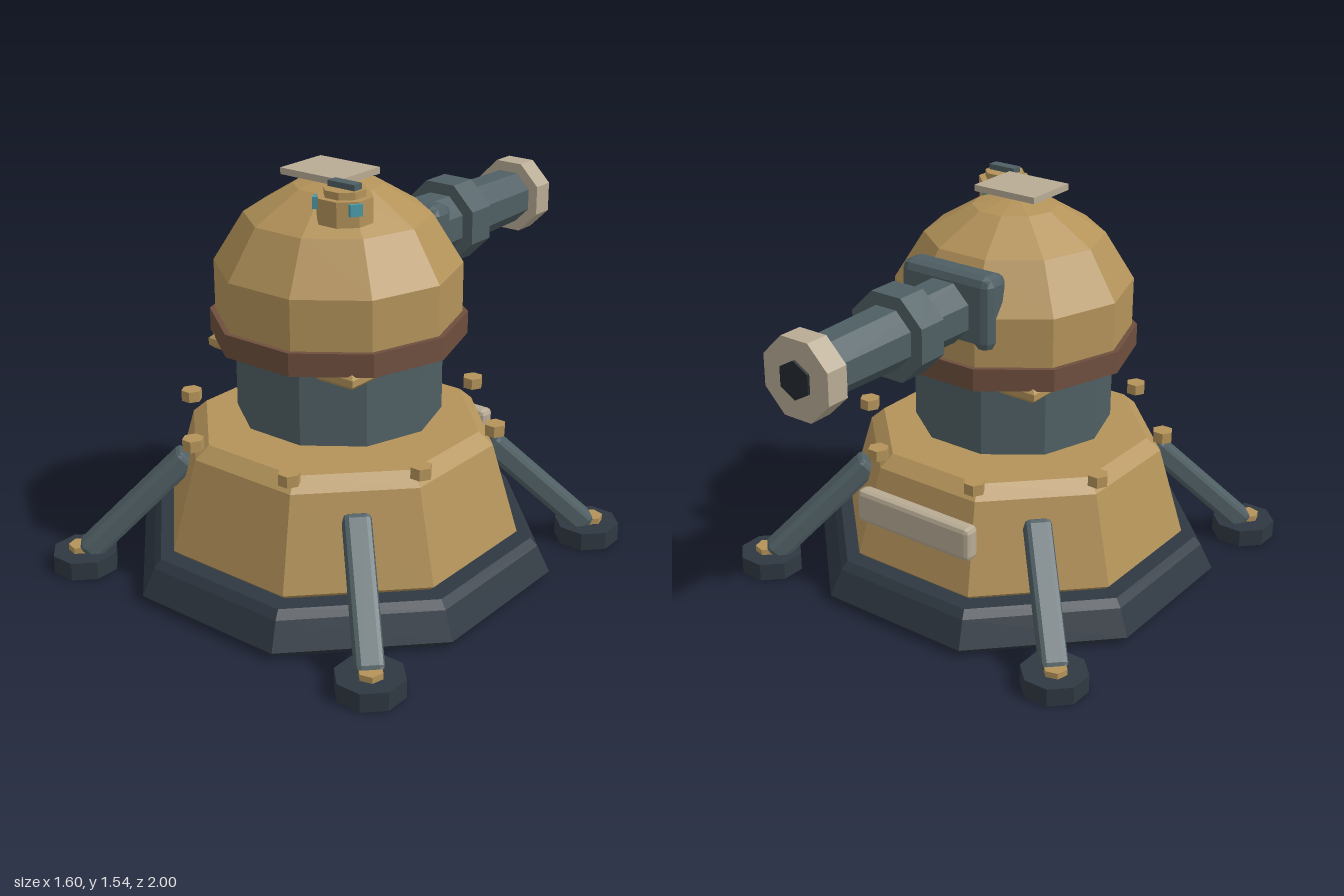
import * as THREE from 'three';
import { RoundedBoxGeometry } from 'three/addons/geometries/RoundedBoxGeometry.js';

const paint = (name, color) => {
  const m = new THREE.MeshStandardMaterial({ color, flatShading: true });
  m.name = name;
  return m;
};

export function createModel() {
  const sand = paint('sand', 0xb4935a);
  const slate = paint('slate', 0x4f5f64);
  const darkSteel = paint('dark steel', 0x2f3842);
  const brown = paint('brown', 0x6e4f3e);
  const cream = paint('cream', 0xb8ab94);
  const teal = paint('teal', 0x4a9aa8);
  const black = paint('bore black', 0x23292f);

  const model = new THREE.Group();
  model.name = 'turret';
  const body = new THREE.Group(); // everything turns about this axis
  body.name = 'emplacement';
  body.position.z = 0.2;
  model.add(body);

  const add = (parent, name, geometry, material, x = 0, y = 0, z = 0) => {
    const mesh = new THREE.Mesh(geometry, material);
    mesh.name = name;
    mesh.position.set(x, y, z);
    parent.add(mesh);
    return mesh;
  };

  // Faceted solid of revolution, profile [radius, height] from bottom to top
  const facets = (profile, sides, start) =>
    new THREE.LatheGeometry(profile.map(([r, y]) => new THREE.Vector2(r, y)), sides, start);
  // Octagon and square profiles give the distance to the flats
  const octagon = (profile) =>
    facets(profile.map(([a, y]) => [a / Math.cos(Math.PI / 8), y]), 8, Math.PI / 8);
  const square = (profile) =>
    facets(profile.map(([a, y]) => [a * Math.SQRT2, y]), 4, Math.PI / 4);
  const decagon = (profile) => facets(profile, 10, Math.PI / 2);
  const chamferBox = (w, h, d, r) => new RoundedBoxGeometry(w, h, d, 1, r);

  // Base
  add(body, 'baseSkirt', octagon([[0, 0], [0.72, 0], [0.75, 0.03], [0.705, 0.13], [0.68, 0.16], [0, 0.16]]), darkSteel);
  add(body, 'baseHousing', octagon([[0, 0.155], [0.605, 0.155], [0.632, 0.18], [0.54, 0.52], [0.49, 0.567], [0, 0.567]]), sand);
  add(body, 'backPanel', chamferBox(0.53, 0.135, 0.065, 0.02), cream, 0, 0.388, -0.603);

  // Bolts around the rim
  for (let i = 0; i < 8; i++) {
    const a = (i + 0.5) * Math.PI / 4;
    add(body, 'rimBolt', new THREE.CylinderGeometry(0.04, 0.04, 0.042, 6, 1, false, Math.PI / 2),
      sand, 0.59 * Math.sin(a), 0.587, 0.59 * Math.cos(a));
  }

  // Four outriggers
  const legTop = new THREE.Vector2(0.566, 0.44);
  const legFoot = new THREE.Vector2(0.962, 0.06);
  for (let i = 0; i < 4; i++) {
    const outrigger = new THREE.Group();
    outrigger.name = 'outrigger';
    outrigger.rotation.y = Math.PI / 4 + i * Math.PI / 2;
    body.add(outrigger);
    const leg = add(outrigger, 'leg', chamferBox(0.1, legTop.distanceTo(legFoot), 0.09, 0.02), slate,
      0, (legTop.y + legFoot.y) / 2, (legTop.x + legFoot.x) / 2);
    leg.rotation.x = Math.atan2(legTop.x - legFoot.x, legTop.y - legFoot.y);
    add(outrigger, 'footPad', octagon([[0, 0], [0.115, 0], [0.115, 0.07], [0, 0.07]]), darkSteel, 0, 0, 0.969);
    add(outrigger, 'footPin', new THREE.CylinderGeometry(0.045, 0.045, 0.03, 6), sand, 0, 0.078, 0.985);
  }

  // Neck and turret
  add(body, 'neck', decagon([[0, 0.61], [0.38, 0.61], [0.38, 0.88], [0, 0.88]]), slate);
  add(body, 'neckPlate', square([[0, 0.86], [0.32, 0.86], [0.335, 0.875], [0.335, 0.9], [0.32, 0.915], [0, 0.915]]), sand);
  add(body, 'turretRing', decagon([[0, 0.905], [0.47, 0.905], [0.47, 0.99], [0, 0.99]]), brown);
  add(body, 'dome', decagon([[0, 0.985], [0.45, 0.985], [0.45, 1.175], [0.338, 1.356], [0.16, 1.463], [0, 1.5]]), sand);
  add(body, 'roofPlate', new THREE.BoxGeometry(0.27, 0.024, 0.22), cream, 0, 1.516, 0.04);

  // Sight cupola
  const cupola = new THREE.Group();
  cupola.name = 'cupola';
  cupola.position.set(0.18, 0, 0.18);
  body.add(cupola);
  add(cupola, 'cupolaBody', octagon([[0, 1.4], [0.093, 1.4], [0.093, 1.49], [0.07, 1.49], [0.07, 1.516], [0, 1.516]]), sand);
  add(cupola, 'cupolaHandle', new THREE.BoxGeometry(0.115, 0.022, 0.042), slate, 0, 1.526, 0);
  for (let i = 0; i < 3; i++) {
    const a = Math.PI / 3 + i * Math.PI * 2 / 3;
    const lens = add(cupola, 'sightBlock', new THREE.BoxGeometry(0.045, 0.042, 0.03), teal,
      0.094 * Math.sin(a), 1.463, 0.094 * Math.cos(a));
    lens.rotation.y = a;
  }

  // Gun, lathed upward and laid to point backwards
  add(body, 'mantlet', chamferBox(0.4, 0.28, 0.12, 0.035), slate, 0, 1.19, -0.37);
  const gun = new THREE.Group();
  gun.name = 'gun';
  gun.position.y = 1.175;
  gun.rotation.x = -Math.PI / 2;
  body.add(gun);
  add(gun, 'barrel', octagon([[0, 0.36], [0.115, 0.36], [0.1, 1.11], [0, 1.11]]), slate);
  add(gun, 'barrelSleeve', octagon([[0, 0.62], [0.155, 0.62], [0.155, 0.74], [0, 0.74]]), slate);
  add(gun, 'muzzle', octagon([[0, 1.1], [0.14, 1.1], [0.14, 1.19], [0, 1.19]]), cream);
  add(gun, 'bore', facets([[0, 1.18], [0.07, 1.18], [0.07, 1.2], [0, 1.2]], 6, 0), black);

  return model;
}
